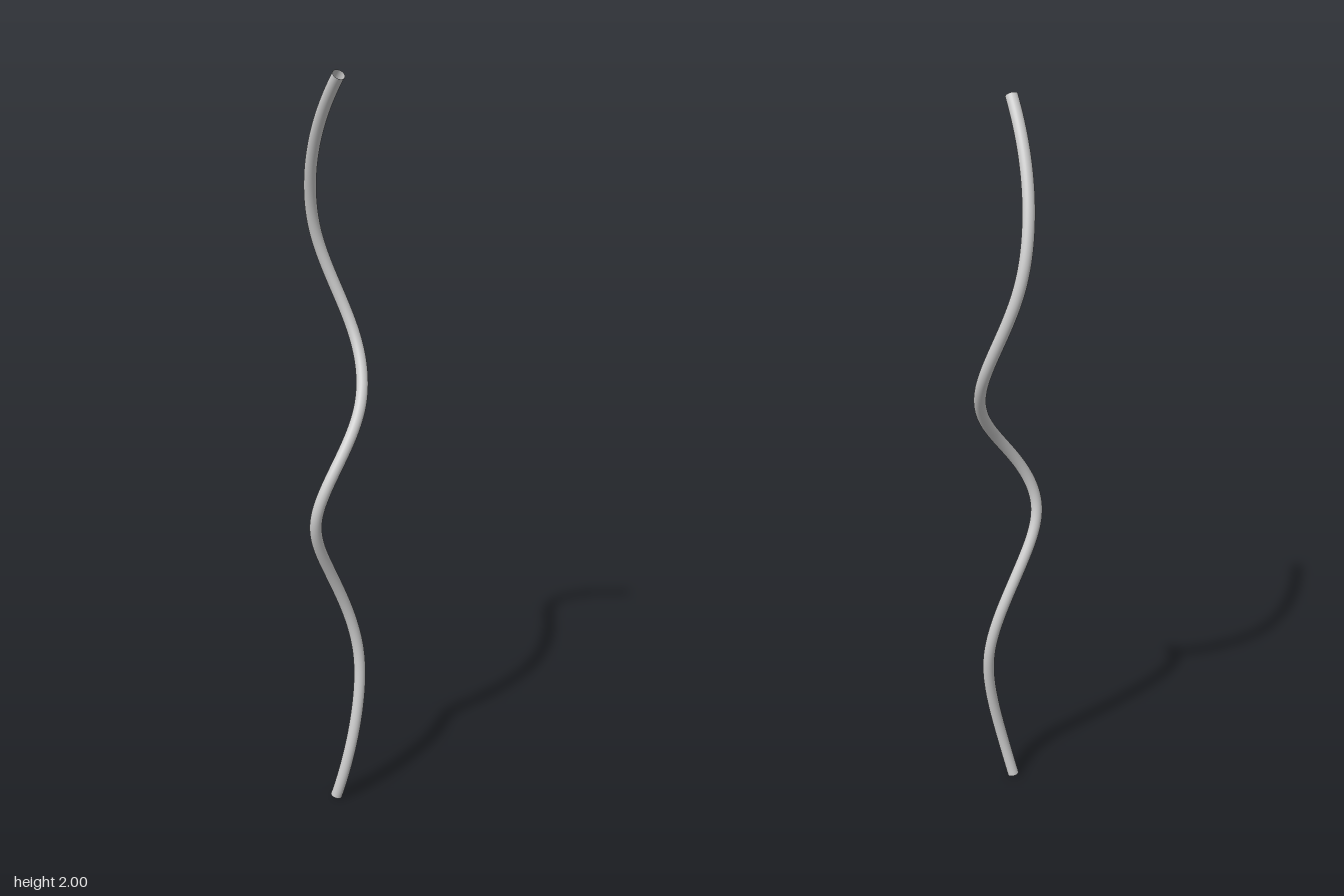
import * as THREE from 'three';

const RADIUS = 0.016;
const SIDES = 24;
const FOOT = 0.005;
const TIP = 1.99;

// Sideways offsets [x, z] of the centre line at even heights, foot to tip
const OFFSETS = [
  [-0.03, 0.079], [-0.001, 0.1], [0.03, 0.098], [0.044, 0.082], [0.013, 0.066],
  [-0.053, 0.066], [-0.106, 0.086], [-0.058, 0.104], [0.049, 0.073], [0.104, -0.008],
  [0.085, -0.073], [0.045, -0.105], [0.012, -0.086], [-0.011, -0.026], [-0.024, 0.073],
];

// Control values, with one extra at each end, of a cubic B-spline through the given values
function splineControls(values) {
  const n = values.length;
  const c = [values[0], ...values, values[n - 1]];
  for (let pass = 0; pass < 60; pass++) {
    c[0] = 3 * c[1] - 3 * c[2] + c[3];
    c[n + 1] = 3 * c[n] - 3 * c[n - 1] + c[n - 2];
    values.forEach((v, i) => {
      c[i + 1] += v - (c[i] + 4 * c[i + 1] + c[i + 2]) / 6;
    });
  }
  return c;
}

function splineValue(c, t) {
  const i = Math.min(Math.floor(t), c.length - 4);
  const u = t - i;
  const w = 1 - u;
  return (w ** 3 * c[i] + (3 * u ** 3 - 6 * u ** 2 + 4) * c[i + 1]
    + (3 * w ** 3 - 6 * w ** 2 + 4) * c[i + 2] + u ** 3 * c[i + 3]) / 6;
}

export function createModel() {
  const group = new THREE.Group();
  group.name = 'wavyStrand';

  // Smooth centre line
  const xs = splineControls(OFFSETS.map((p) => p[0]));
  const zs = splineControls(OFFSETS.map((p) => p[1]));
  const points = [];
  for (let k = 0; k <= 100; k++) {
    const s = k / 100;
    const t = s * (OFFSETS.length - 1);
    points.push(new THREE.Vector3(splineValue(xs, t), FOOT + (TIP - FOOT) * s, splineValue(zs, t)));
  }
  const path = new THREE.CatmullRomCurve3(points);

  // Round hollow strand, open at both ends
  const strand = new THREE.Mesh(
    new THREE.TubeGeometry(path, 200, RADIUS, SIDES),
    new THREE.MeshStandardMaterial({ color: 0xcccccc, side: THREE.DoubleSide }),
  );
  strand.name = 'strand';
  group.add(strand);
  return group;
}
